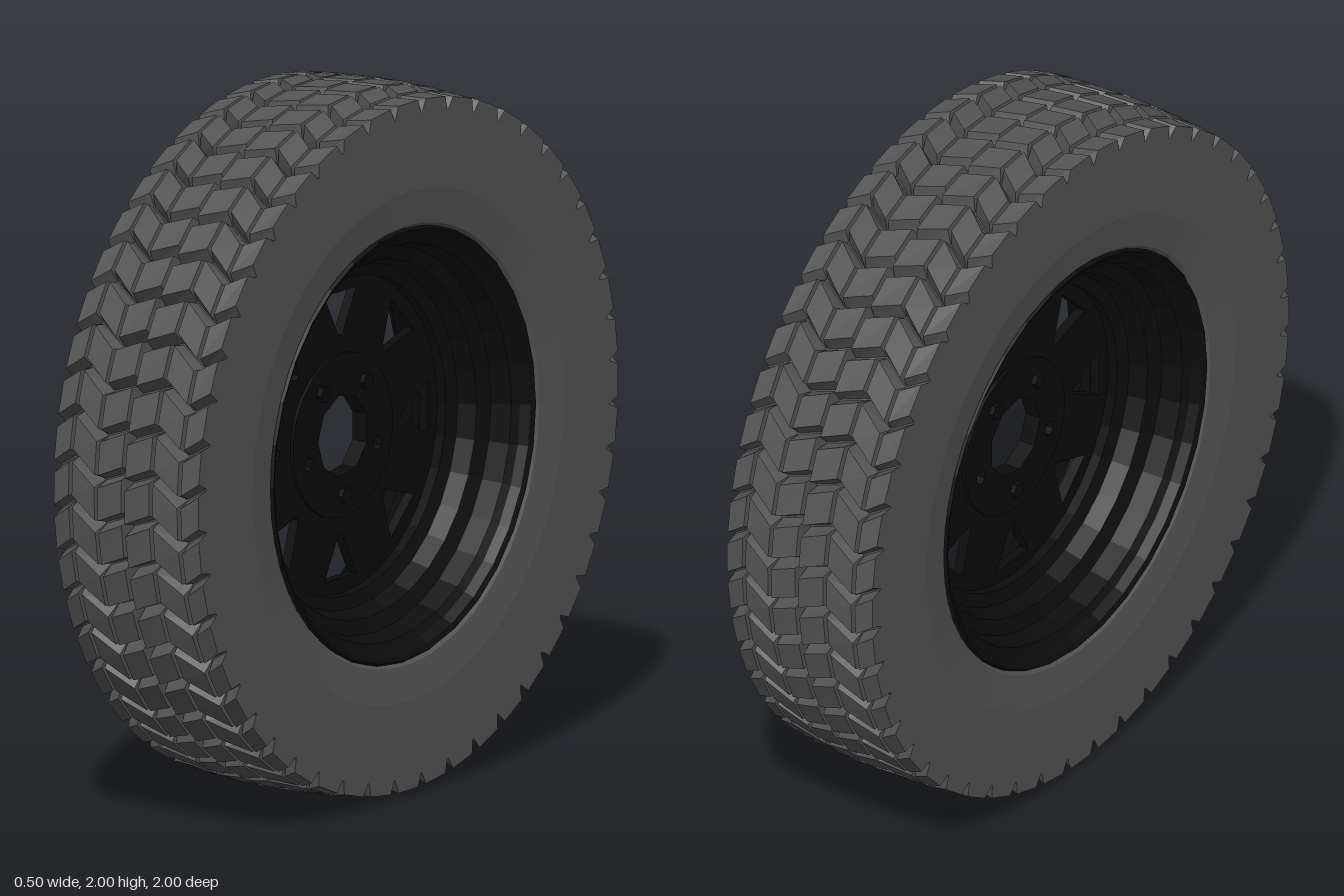
import * as THREE from 'three';
import { mergeGeometries } from 'three/addons/utils/BufferGeometryUtils.js';

const rubber = new THREE.MeshStandardMaterial({ color: 0x555555, flatShading: true });
const steel = new THREE.MeshStandardMaterial({ color: 0x0c0c0c, flatShading: true, side: THREE.DoubleSide });

const ROWS = 48;          // tread blocks around the tyre
const BASE = 0.95;        // radius at the bottom of the grooves

// Lathe around the axle (x); points are [radius, x]
function turned(points, segments) {
  const profile = points.map(([r, x]) => new THREE.Vector2(r, x));
  return new THREE.LatheGeometry(profile, segments).rotateZ(-Math.PI / 2);
}

// Half profile mirrored across x = 0, running from -x to +x
function mirrored(half) {
  return [...half.map(([r, x]) => [r, -x]), ...half.slice().reverse()];
}

// Crowned outer radius of the tread
function crown(x) {
  return 1 - 0.015 * (Math.abs(x) / 0.25) ** 2;
}

// One slanted block, tapering towards its top so V-shaped grooves remain
function treadBlock({ x0, x1, a0, a1 }) {
  const geo = new THREE.BoxGeometry(1, 1, 1);
  const p = geo.attributes.position;
  const pitch = (Math.PI * 2) / ROWS;
  for (let i = 0; i < p.count; i++) {
    const atEnd = p.getX(i) > 0;
    const top = p.getZ(i) > 0;
    const inset = (top ? 0.006 : 0.001) * (atEnd ? -1 : 1);
    const edge = atEnd ? x1 : x0;
    const x = Math.abs(edge) > 0.24 ? edge : edge + inset;
    const angle = (atEnd ? a1 : a0) + p.getY(i) * pitch * (top ? 0.72 : 0.98);
    const r = top ? crown(x) : BASE - 0.005;
    p.setXYZ(i, x, r * Math.sin(angle), r * Math.cos(angle));
  }
  return geo;
}

function polygon(PathType, radius, sides, cx = 0, cy = 0) {
  const points = [];
  for (let i = 0; i < sides; i++) {
    const a = (i + 0.5) * Math.PI * 2 / sides;
    points.push(new THREE.Vector2(cx + radius * Math.cos(a), cy + radius * Math.sin(a)));
  }
  return new PathType(points);
}

// Plate across the axle, centred on x = 0
function plate(shape, depth) {
  return new THREE.ExtrudeGeometry(shape, { depth, bevelEnabled: false })
    .translate(0, 0, -depth / 2).rotateY(Math.PI / 2);
}

export function createModel() {
  const wheel = new THREE.Group();
  wheel.name = 'wheel';
  const add = (name, geo, material) => {
    const mesh = new THREE.Mesh(geo, material);
    mesh.name = name;
    mesh.position.y = 1;
    wheel.add(mesh);
  };

  // Tyre carcass with flat sidewalls
  add('tyreCarcass', turned(mirrored([[0.615, 0.225], [0.63, 0.238], [0.73, 0.25], [BASE, 0.25]]), ROWS), rubber);

  // Six zigzag columns of tread blocks, x range and slant angles
  const columns = [
    { x0: -0.25, x1: -0.188, a0: 0, a1: 0.04 },
    { x0: -0.188, x1: -0.095, a0: 0.04, a1: -0.02 },
    { x0: -0.095, x1: 0, a0: -0.02, a1: 0.015 },
    { x0: 0, x1: 0.095, a0: -0.015, a1: 0.02 },
    { x0: 0.095, x1: 0.188, a0: 0.02, a1: -0.04 },
    { x0: 0.188, x1: 0.25, a0: -0.04, a1: 0 },
  ];
  const blocks = [];
  for (const column of columns) {
    for (let i = 0; i < ROWS; i++) {
      blocks.push(treadBlock(column).rotateX(i * Math.PI * 2 / ROWS));
    }
  }
  add('treadBlocks', mergeGeometries(blocks), rubber);

  // Stepped rim barrel with a lip at each side
  add('rimBarrel', turned(mirrored([
    [0.625, 0.225], [0.615, 0.238], [0.6, 0.23], [0.585, 0.205],
    [0.565, 0.19], [0.55, 0.13], [0.51, 0.11], [0.49, 0.06], [0.455, 0.045],
  ]), 32), steel);

  // Centre hole and two open bolt holes, shared by the disc and the hub
  const boltAngles = [0, 1, 2, 3, 4].map((i) => -Math.PI / 2 + i * Math.PI * 2 / 5);
  const boltSpot = (a) => [0.17 * Math.cos(a), 0.17 * Math.sin(a)];
  const openBolts = [boltAngles[1], boltAngles[4]];
  const hubHoles = () => [
    polygon(THREE.Path, 0.118, 9),
    ...openBolts.map((a) => polygon(THREE.Path, 0.022, 6, ...boltSpot(a))),
  ];

  // Disc with eight wedge-shaped windows
  const disc = polygon(THREE.Shape, 0.46, 32);
  disc.holes.push(...hubHoles());
  for (let i = 0; i < 8; i++) {
    const window = [[0.41, -0.075], [0.41, 0.075], [0.285, 0.008], [0.285, -0.008]];
    const axis = new THREE.Vector2();
    disc.holes.push(new THREE.Path(window.map(([u, v]) =>
      new THREE.Vector2(u, v).rotateAround(axis, i * Math.PI / 4))));
  }
  add('rimDisc', plate(disc, 0.03), steel);

  // Raised hub
  const hub = polygon(THREE.Shape, 0.235, 24);
  hub.holes.push(...hubHoles());
  add('hub', plate(hub, 0.05), steel);

  // Bolts through the remaining positions
  const bolts = boltAngles.filter((a) => !openBolts.includes(a)).map((a) => {
    const [u, v] = boltSpot(a);
    return new THREE.CylinderGeometry(0.024, 0.024, 0.08, 6).rotateZ(Math.PI / 2).translate(0, v, -u);
  });
  add('wheelBolts', mergeGeometries(bolts), steel);

  return wheel;
}
